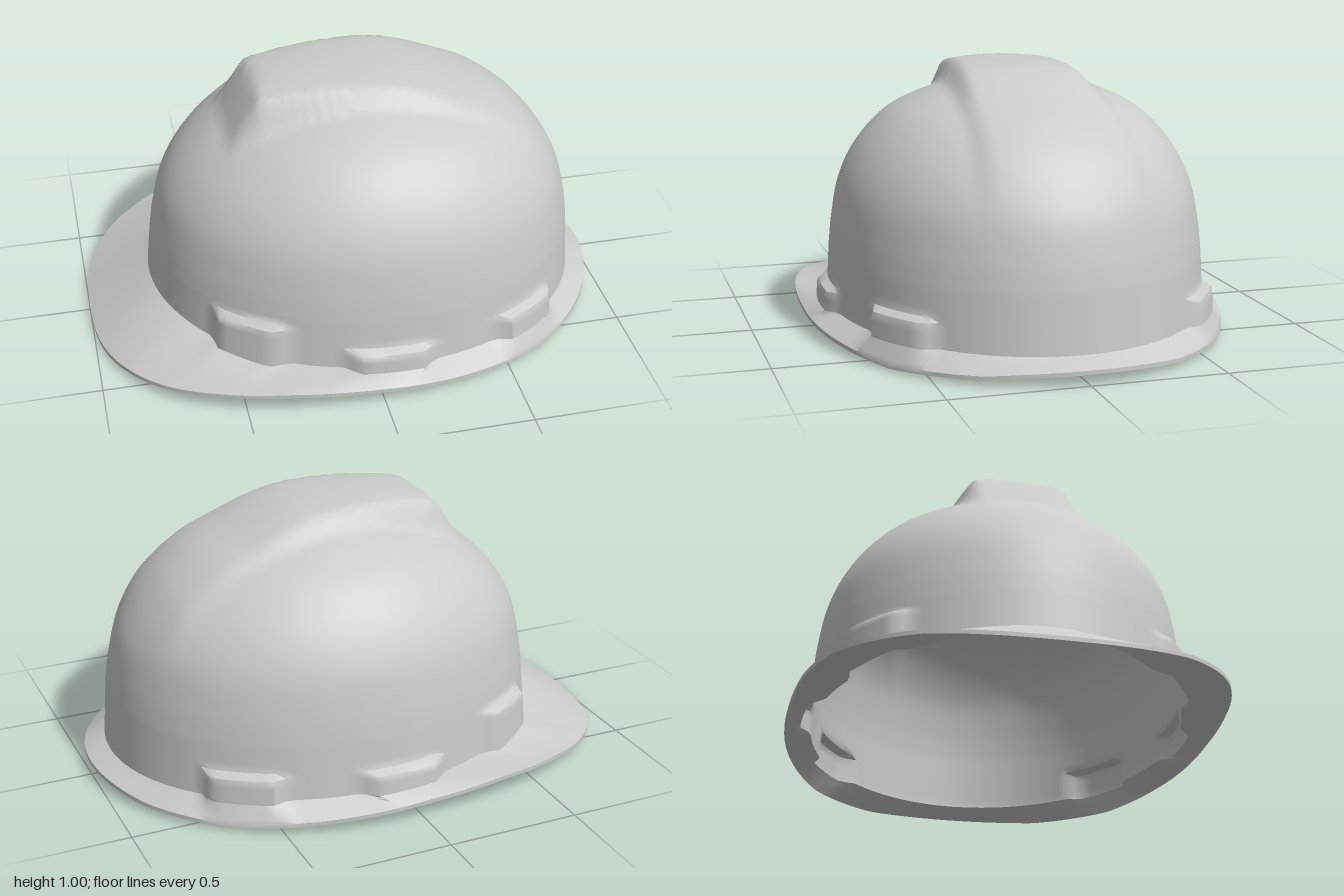
import * as THREE from 'three';
import { toCreasedNormals, mergeVertices } from 'three/addons/utils/BufferGeometryUtils.js';

const SEG = 144, THICK = 0.015;
const { lerp, smoothstep } = THREE.MathUtils;

// Piecewise linear lookup in a short list of [input, output] pairs
function table(points, v) {
  for (let i = 1; i < points.length; i++) {
    const [a, fa] = points[i - 1], [b, fb] = points[i];
    if (v <= b) return lerp(fa, fb, Math.max(0, (v - a) / (b - a)));
  }
  return points[points.length - 1][1];
}

// Skin closed rings, each a function of the angle; outside faces out when rings run downwards
function loft(rings) {
  const pos = [], index = [];
  for (const ring of rings)
    for (let i = 0; i < SEG; i++) pos.push(...ring((i / SEG) * Math.PI * 2));
  for (let r = 0; r < rings.length - 1; r++)
    for (let i = 0; i < SEG; i++) {
      const j = (i + 1) % SEG;
      const a = r * SEG + i, b = r * SEG + j, c = a + SEG, d = b + SEG;
      index.push(a, b, c, b, d, c);
    }
  const geo = new THREE.BufferGeometry();
  geo.setAttribute('position', new THREE.Float32BufferAttribute(pos, 3));
  geo.setIndex(index);
  return toCreasedNormals(mergeVertices(geo), 0.7);
}

// Dome section: [relative radius, height]
const section = new THREE.CatmullRomCurve3([
  [0, 0.94], [0.18, 0.935], [0.36, 0.915], [0.565, 0.86], [0.7, 0.8], [0.845, 0.68],
  [0.93, 0.55], [0.97, 0.4], [0.985, 0.3],
].map(([s, y]) => new THREE.Vector3(s, y, 0)));

const BASE = [[-0.77, 0.16], [-0.4, 0.11], [0, 0.1], [0.92, 0.085]];
const RIDGE = [[-0.45, 0], [-0.33, 0.11], [-0.15, 0.08], [0, 0.062], [0.2, 0.052],
  [0.43, 0.025], [0.7, 0.02], [0.82, 0]];
const EDGE = [[-1, 0], [-0.9, 0.025], [-0.6, 0.062], [-0.35, 0.072], [0, 0.055],
  [0.4, 0.027], [0.65, 0.008], [0.9, 0.02], [1, 0.04]];

// Accessory bosses around the dome foot: [angle in degrees, top height]
const BOSSES = [[52, 0.18], [92.7, 0.17], [130, 0.26]];
function bossPush(angle, y) {
  const deg = Math.abs(Math.atan2(Math.sin(angle), Math.cos(angle))) * 180 / Math.PI;
  let push = 0;
  for (const [at, top] of BOSSES)
    push = Math.max(push, 0.04 * (1 - smoothstep(Math.abs(deg - at), 8, 11.5))
      * (1 - smoothstep(y, top - 0.005, top + 0.02)));
  return push;
}

// Ring k of the dome: 0..1 runs apex to shoulder, 1..2 shoulder to foot
function domeRing(k, inset) {
  const p = section.getPoint(Math.min(k, 1));
  const foot = Math.max(0, k - 1);
  const s = lerp(p.x, 1, foot);
  return (angle) => {
    const c = Math.cos(angle), n = Math.sin(angle);
    let x = 0.08 + (0.84 - inset) * Math.pow(s, 1.25) * c;
    let z = (0.71 - inset) * s * n;
    let y = lerp(p.y, table(BASE, x), foot);
    const push = k > 0.8 ? bossPush(angle, y) : 0;
    x += push * c;
    z += push * n;
    // Raised crown ridge, widening to the back
    const half = 0.19 + 0.08 * x;
    y += table(RIDGE, x) * (1 - smoothstep(Math.abs(z), half, half + 0.075));
    return [x, y - inset * (1 - foot), z];
  };
}

// Ring of the brim: k = 0 at the dome foot, 1 at the outer edge; squarer at the peak
function brimRing(k, under) {
  const foot = domeRing(2, under ? THICK : 0);
  return (angle) => {
    const c = Math.cos(angle), n = Math.sin(angle);
    const e = c < 0 ? 0.8 : 1;
    const ex = Math.sign(c) * Math.pow(Math.abs(c), e);
    const ez = 0.8 * Math.sign(n) * Math.pow(Math.abs(n), e);
    const [x, y, z] = foot(angle);
    const ey = table(EDGE, ex) + (under ? 0 : THICK);
    return [lerp(x, ex, k), lerp(y - (under ? THICK : 0), ey, k), lerp(z, ez, k)];
  };
}

export function createModel() {
  const model = new THREE.Group();
  model.name = 'hardHat';
  const material = new THREE.MeshStandardMaterial({ color: 0xcccccc, side: THREE.DoubleSide });
  const add = (name, rings) => {
    const mesh = new THREE.Mesh(loft(rings), material);
    mesh.name = name;
    model.add(mesh);
  };

  // Steps from apex to foot, finer near the bosses
  const steps = [];
  for (let i = 0; i <= 44; i++) steps.push(i / 44);
  for (let i = 1; i <= 14; i++) steps.push(1 + i / 14);

  add('domeShell', steps.map((k) => domeRing(k, 0)));
  add('domeLining', [brimRing(0, true), ...steps.slice().reverse().map((k) => domeRing(k, THICK))]);

  // Brim top, rim and underside
  const out = [0, 0.25, 0.5, 0.75, 1];
  add('brim', [
    ...out.map((k) => brimRing(k, false)),
    ...out.slice().reverse().map((k) => brimRing(k, true)),
  ]);
  return model;
}
